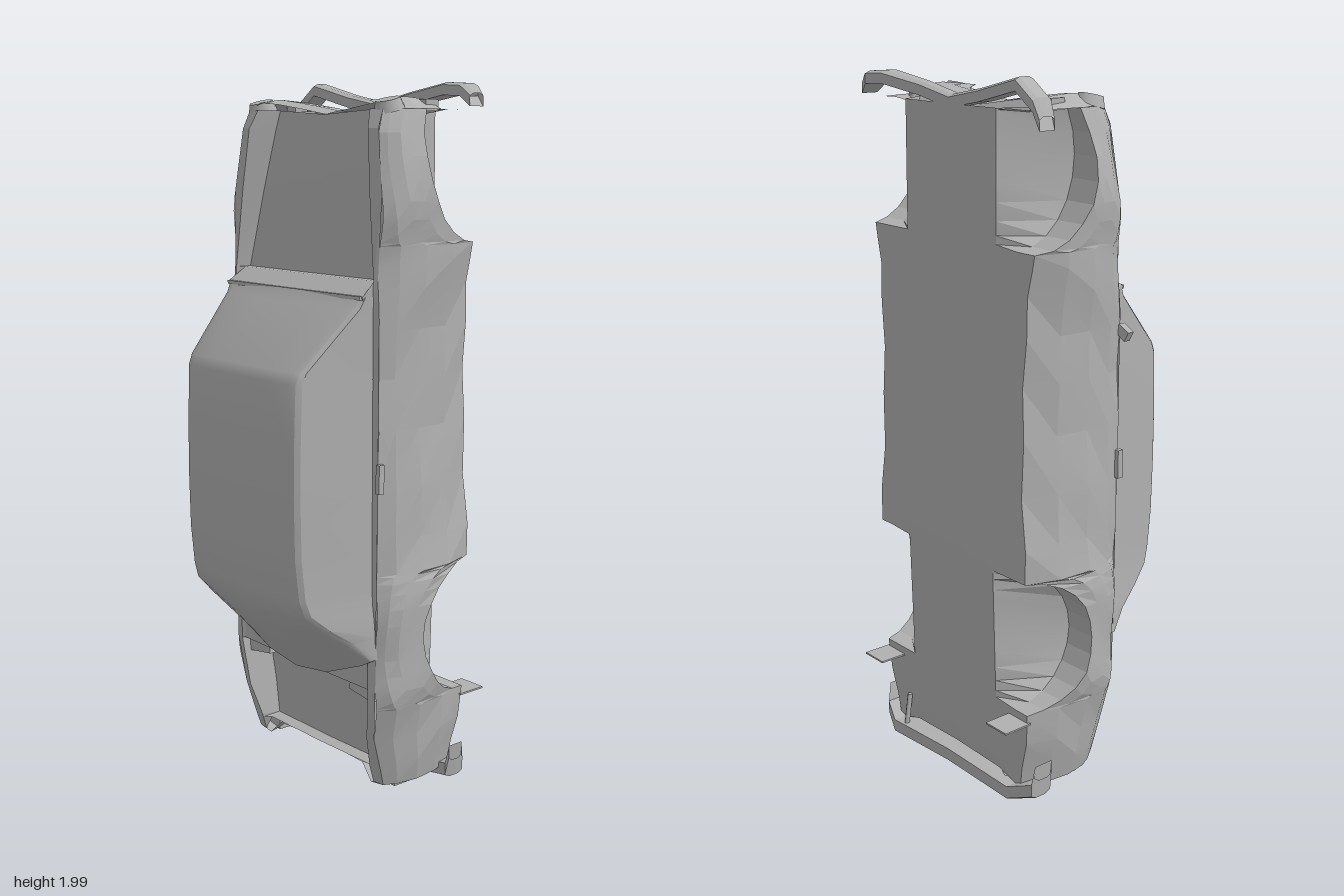
import * as THREE from 'three';
import { toCreasedNormals } from 'three/addons/utils/BufferGeometryUtils.js';

const bodyGrey = new THREE.MeshStandardMaterial({ color: 0xb0b0b0, side: THREE.DoubleSide });
bodyGrey.name = 'bodyGrey';

// Linear lookup in a table of [position, value] pairs
function at(table, v) {
  if (v <= table[0][0]) return table[0][1];
  for (let i = 1; i < table.length; i++) {
    const [a, p] = table[i - 1], [b, q] = table[i];
    if (v <= b) return p + (q - p) * (v - a) / (b - a);
  }
  return table[table.length - 1][1];
}

// Surface through a list of cross-sections with equal point counts
function loft(sections, crease = 0.2) {
  const n = sections[0].length, index = [];
  for (let i = 0; i < sections.length - 1; i++)
    for (let j = 0; j < n - 1; j++) {
      const a = i * n + j, b = a + n;
      index.push(a, b, a + 1, b, b + 1, a + 1);
    }
  const g = new THREE.BufferGeometry();
  g.setAttribute('position', new THREE.Float32BufferAttribute(sections.flat(2), 3));
  g.setIndex(index);
  return toCreasedNormals(g, crease);
}

// Mirrors a half section that ends on the centre line
const mirrored = (half) => [...half, ...half.slice(0, -1).reverse().map(([x, y, z]) => [-x, y, z])];

// Body outline along the length (y), which stands upright
const WIDTH = [[0.05, 0.315], [0.2, 0.345], [0.35, 0.37], [0.5, 0.38], [0.7, 0.36], [0.95, 0.345],
  [1.25, 0.34], [1.45, 0.355], [1.65, 0.38], [1.8, 0.365], [1.92, 0.325]];
const SHOULDER = [[0.05, 0.285], [0.35, 0.315], [0.9, 0.32], [1.45, 0.315], [1.65, 0.32], [1.92, 0.285]];
const TOP = [[0.05, 0.025], [0.2, 0.07], [0.35, 0.085], [1.4, 0.085], [1.7, 0.075], [1.87, 0.065], [1.92, 0.045]];
const FLOOR = [[0.05, -0.23], [0.3, -0.242], [0.72, -0.252], [1.2, -0.242], [1.55, -0.235], [1.92, -0.232]];
const ARCHES = [{ c: 0.49, r: 0.195 }, { c: 1.8, r: 0.23 }];
const BACK = 0.05, FRONT = 1.92;

// Lower edge of the side panel, raised over the wheels
function bottomZ(y) {
  const floor = at(FLOOR, y);
  for (const { c, r } of ARCHES) {
    const d = (y - c) / r;
    if (Math.abs(d) < 1) return floor - (floor + 0.045) * Math.sqrt(1 - d * d);
  }
  return floor;
}

function sideX(y, z) {
  const w = at(WIDTH, y), s = at(SHOULDER, y), top = at(TOP, y);
  const dent = 0.006 * Math.sin(23 * y + 14 * z) * Math.min(1, (y - BACK) * 8, (FRONT - y) * 8);
  return at([[-0.235, w - 0.035], [-0.16, w - 0.01], [-0.07, w], [top - 0.035, s + (w - s) * 0.6], [top, s]], z) + dent;
}

// Stations, denser at the wheel arches
const stations = [BACK, 0.12, 0.2, 0.78, 0.92, 1.08, 1.22, 1.35, 1.46, 1.53, FRONT];
for (const { c, r } of ARCHES)
  for (let k = 0; k <= 12; k++) {
    const y = c + r * Math.cos(k * Math.PI / 12);
    if (y < FRONT) stations.push(y);
  }
stations.sort((a, b) => a - b);

export function createModel() {
  const car = new THREE.Group();
  car.name = 'wreckedCar';
  function add(name, geometry, x = 0, y = 0, z = 0, parent = car) {
    const m = new THREE.Mesh(geometry, bodyGrey);
    m.name = name;
    m.position.set(x, y, z);
    parent.add(m);
    return m;
  }
  const box = (w, h, d) => new THREE.BoxGeometry(w, h, d);

  // Dented side panels with arch cut-outs
  for (const s of [1, -1]) {
    add(s > 0 ? 'leftSide' : 'rightSide', loft(stations.map((y) => {
      const b = bottomZ(y), t = at(TOP, y);
      return [0, 0.3, 0.6, 0.85, 1].map((u) => {
        const z = b + (t - b) * u;
        return [s * sideX(y, z), y, z];
      });
    }), 0.12));
  }

  // Underside with slanted wheel wells; recessed between the tail corners
  add('underside', loft(stations.map((y) => {
    const b = bottomZ(y), f = at(FLOOR, y);
    return mirrored([[sideX(y, b), y, b], [0.275, y, b], [0.19, Math.max(y, 0.075), f], [0, Math.max(y, 0.085), f - 0.005]]);
  })));

  // Deck: [y, rim x, floor x, floor z]; recessed boot, hidden middle, cowl, engine bay
  const deck = [[BACK, 0.25, 0.235, 0.02], [0.09, 0.25, 0.235, 0.02], [0.1, 0.25, 0.235, -0.01],
    [0.2, 0.27, 0.25, -0.01], [0.35, 0.29, 0.27, 0], [0.351, 0.29, 0.28, 0.085], [0.9, 0.29, 0.28, 0.085],
    [1.38, 0.3, 0.29, 0.1], [1.44, 0.3, 0.295, 0.12], [1.478, 0.3, 0.285, 0.066], [1.48, 0.3, 0.28, 0.052],
    [1.7, 0.275, 0.24, 0.03], [1.87, 0.255, 0.21, 0.008], [FRONT, 0.24, 0.2, 0]];
  add('deck', loft(deck.map(([y, rim, fx, fz]) => {
    const t = at(TOP, y), fy = Math.max(y, 0.09);
    return mirrored([[sideX(y, t), y, t], [rim, y, t + 0.005], [fx, fy, fz], [0, Math.min(fy, 1.908), fz + 0.004]]);
  })));

  // Crumpled nose and tail panels: bulge is the offset along y by distance from the centre
  const spread = [-1, -0.82, -0.66, -0.35, 0, 0.35, 0.66, 0.82, 1];
  function endPanel(name, y0, centreTop, bulge, rows) {
    const top = at(TOP, y0), floor = at(FLOOR, y0);
    add(name, loft(spread.map((t) => {
      const a = Math.abs(t), zt = a > 0.8 ? top : centreTop;
      return [[zt, 0], [-0.05, rows[0]], [-0.13, rows[1]], [-0.16, rows[2]], [floor, rows[3]]]
        .map(([z, out]) => [t * sideX(y0, z), y0 + at(bulge, a) + (a < 1 ? out : 0), z]);
    })));
  }
  endPanel('nosePanel', FRONT, 0, [[0, -0.012], [0.35, 0.004], [0.7, 0.018], [0.82, 0.022], [1, 0]], [0.01, 0.004, -0.03, -0.02]);
  endPanel('tailPanel', BACK, 0.02, [[0, 0.042], [0.66, 0.036], [0.82, -0.008], [1, 0]], [0, 0, 0.008, 0]);

  // Cabin: [y, height, bow of the rear glass]
  const cabin = [[1.44, 0.12, 0], [1.41, 0.14, 0], [1.25, 0.294, 0], [1.22, 0.306, 0], [1.05, 0.312, 0], [0.9, 0.313, 0],
    [0.75, 0.31, 0], [0.63, 0.298, 0.1], [0.575, 0.283, 0.25], [0.5, 0.23, 0.6], [0.42, 0.163, 0.9], [0.345, 0.1, 1]];
  add('cabin', loft(cabin.map(([y, z, bow]) => {
    const w = at([[0.1, 0.302], [0.3, 0.253]], z) + 0.01 * bow, round = Math.min(0.018, (z - 0.09) * 0.3);
    return mirrored([[0.304 + 0.014 * bow, 0.08], [w, z - round], [w - 0.012, z - round * 0.3], [w - 0.035, z],
      [0.13, z + 0.005], [0, z + 0.008]].map(([x, h]) => [x, y + 0.09 * bow * (x / 0.3) ** 2, h]));
  }), 0.5));

  // Bent bumpers: [x, y, centre z, height]
  function bumper(name, points, depth) {
    add(name, loft(points.map(([x, y, z, h]) => [[-1, -1], [-1, 1], [0.6, 1], [1, 0.5], [1, -0.5], [0.6, -1], [-1, -1]]
      .map(([p, q]) => [x, y + p * depth, z + q * h / 2]))));
  }
  bumper('frontBumper', [[-0.345, 1.89, -0.2, 0.05], [-0.325, 1.935, -0.2, 0.06], [-0.265, 1.982, -0.205, 0.06],
    [-0.12, 1.947, -0.208, 0.055], [0, 1.925, -0.21, 0.05], [0.12, 1.95, -0.212, 0.055],
    [0.25, 1.975, -0.235, 0.07], [0.3, 1.972, -0.25, 0.07], [0.33, 1.945, -0.25, 0.05]], 0.017);
  bumper('rearBumper', [[-0.345, 0.12, -0.2, 0.06], [-0.34, 0.065, -0.205, 0.07], [-0.26, 0.033, -0.22, 0.085],
    [0, 0.045, -0.23, 0.08], [0.26, 0.033, -0.23, 0.085], [0.335, 0.055, -0.205, 0.07], [0.345, 0.11, -0.2, 0.05]], -0.023);

  // Paired details
  for (const s of [1, -1]) {
    const side = new THREE.Group();
    side.name = s > 0 ? 'leftDetails' : 'rightDetails';
    car.add(side);
    add('headlight', new THREE.CylinderGeometry(0.034, 0.042, 0.03, 12), s * 0.27, 1.93, 0.012, side).rotation.x = 0.25;
    add('frontIndicator', box(0.04, 0.03, 0.045), s * 0.275, 1.93, -0.12, side);
    add('tailLight', box(0.05, 0.03, 0.07), s * 0.265, 0.052, -0.05, side);
    add('mudFlap', box(0.085, 0.005, 0.09), s * 0.287, 0.27, -0.278, side);
    add('bootHinge', box(0.1, 0.035, 0.06), s * 0.235, 0.33, 0.035, side).rotation.z = s * -0.15;
    add('doorHandle', box(0.014, 0.08, 0.018), s * 0.328, 0.955, 0.084, side);
  }
  // Broken mirror stub, wiper strip and exhaust
  add('mirrorStub', box(0.04, 0.03, 0.02), -0.335, 1.325, 0.088).rotation.z = 0.5;
  add('wiperStrip', box(0.58, 0.01, 0.01), 0, 1.437, 0.122);
  add('exhaustPipe', new THREE.CylinderGeometry(0.008, 0.008, 0.12, 6), 0.22, 0.09, -0.25).rotation.x = 0.15;
  return car;
}
